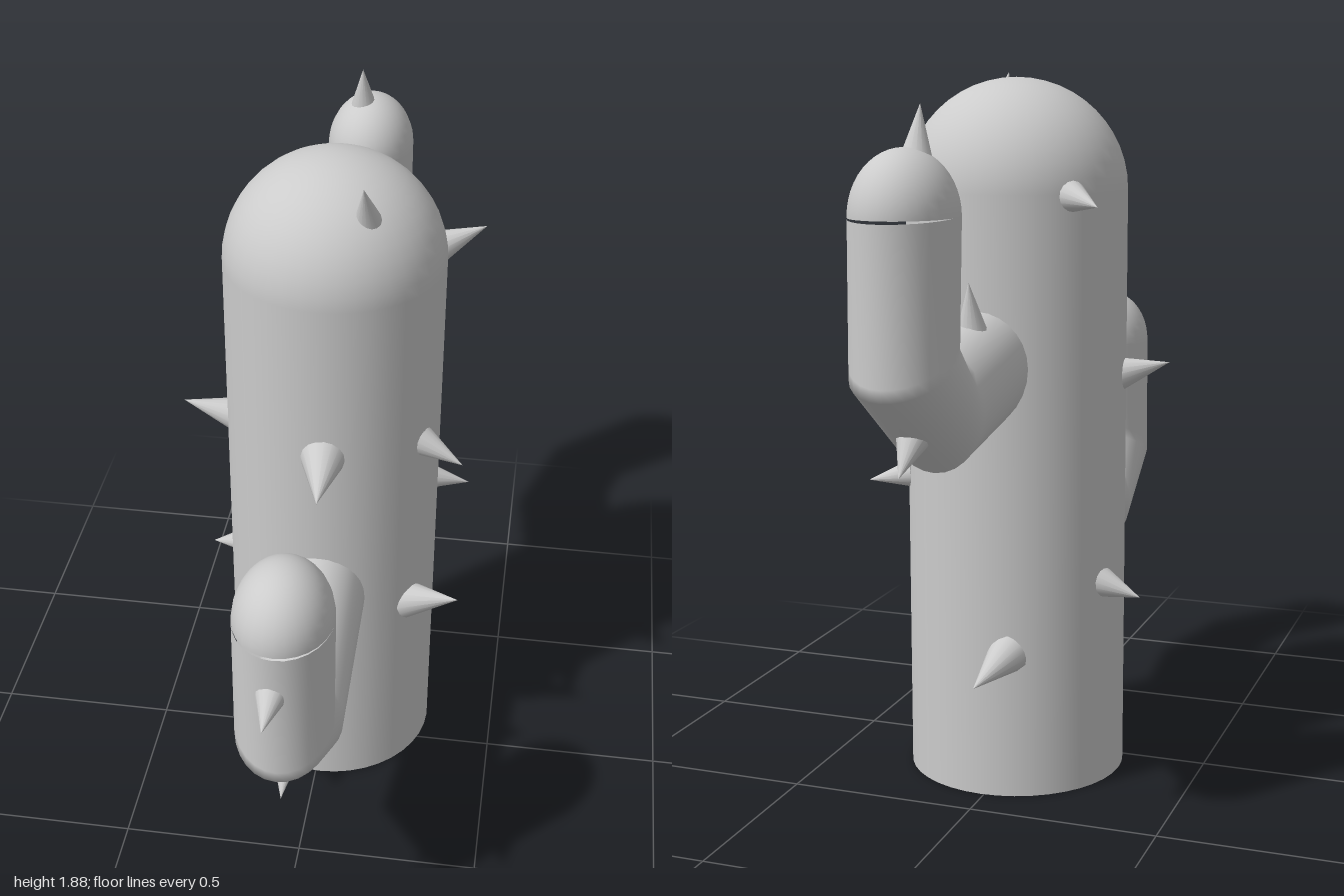
import * as THREE from 'three';

const material = new THREE.MeshStandardMaterial({ color: 0xcccccc });
const CX = 0.01;

function add(parent, name, geometry, x = 0, y = 0, z = 0) {
  const mesh = new THREE.Mesh(geometry, material);
  mesh.name = name;
  mesh.position.set(x, y, z);
  parent.add(mesh);
  return mesh;
}

// half sphere with its flat side at y = 0
const dome = (rx, ry, rz, sides) =>
  new THREE.SphereGeometry(1, sides, 12, 0, Math.PI * 2, 0, Math.PI / 2).scale(rx, ry, rz);

// tube skinned over oval rings; each ring is [innerZ, innerY, outerZ, outerY]
function loft(rings, halfWidth, sides) {
  const positions = [];
  const index = [];
  rings.forEach(([iz, iy, oz, oy], i) => {
    for (let j = 0; j < sides; j++) {
      const a = (j / sides) * Math.PI * 2;
      const c = Math.cos(a) / 2;
      positions.push(Math.sin(a) * halfWidth, (iy + oy) / 2 + c * (oy - iy), (iz + oz) / 2 + c * (oz - iz));
      if (i === rings.length - 1) continue;
      const p = i * sides + j;
      const q = i * sides + ((j + 1) % sides);
      index.push(p, q, p + sides, q, q + sides, p + sides);
    }
  });
  const geometry = new THREE.BufferGeometry();
  geometry.setAttribute('position', new THREE.Float32BufferAttribute(positions, 3));
  geometry.setIndex(index);
  geometry.computeVertexNormals();
  return geometry;
}

// bent arm reaching along +z, then up, with a rounded tip
function makeArm(name) {
  const arm = new THREE.Group();
  arm.name = name;
  const rings = [
    [0.05, 0.835, 0.05, 0.535],
    [0.56, 0.744, 0.56, 0.444],
    [0.58, 0.74, 0.58, 0.44],
    [0.61, 0.79, 0.885, 0.66],
    [0.608, 0.82, 0.885, 0.69],
    [0.585, 1.07, 0.885, 1.055],
  ];
  add(arm, 'armTube', loft(rings, 0.125, 28), 0, 0, 0);
  add(arm, 'armTip', dome(0.125, 0.155, 0.15, 28), 0, 1.062, 0.735);
  return arm;
}

// cone from a base point to a tip point, with its base sunk into the body
function addSpike(parent, [bx, by, bz, tx, ty, tz, radius]) {
  const base = new THREE.Vector3(bx, by, bz);
  const axis = new THREE.Vector3(tx, ty, tz).sub(base);
  const length = axis.length();
  const spike = add(parent, 'spike', new THREE.ConeGeometry(radius, length, 16));
  spike.position.copy(base).addScaledVector(axis, 0.5);
  spike.quaternion.setFromUnitVectors(new THREE.Vector3(0, 1, 0), axis.normalize());
}

export function createModel() {
  const model = new THREE.Group();
  model.name = 'cactus';

  // trunk with a rounded top
  add(model, 'trunk', new THREE.CylinderGeometry(0.294, 0.294, 1.58, 40), CX, 0.79, -0.105);
  add(model, 'trunkTop', dome(0.294, 0.29, 0.294, 40), CX, 1.58, -0.105);

  // two arms of the same shape, the back one turned round and set higher
  const frontArm = makeArm('frontArm');
  frontArm.position.set(CX, 0, 0);
  const backArm = makeArm('backArm');
  backArm.rotation.y = Math.PI;
  backArm.position.set(CX, 0.495, -0.113);
  model.add(frontArm, backArm);

  // spikes: base x, y, z, tip x, y, z, base radius
  const spikes = new THREE.Group();
  spikes.name = 'spikes';
  model.add(spikes);
  [
    // trunk, left side
    [0.27, 1.59, -0.18, 0.395, 1.645, -0.21, 0.045],
    [0.25, 1.115, 0.01, 0.38, 1.067, 0.055, 0.047],
    [0.26, 0.82, -0.23, 0.385, 0.795, -0.25, 0.04],
    [0.24, 0.585, 0.05, 0.39, 0.642, 0.105, 0.055],
    // trunk, right side
    [-0.25, 1.09, -0.065, -0.4, 1.13, -0.055, 0.05],
    [-0.25, 0.555, -0.19, -0.37, 0.525, -0.21, 0.045],
    [-0.2, 1.575, -0.29, -0.3, 1.555, -0.385, 0.042],
    // trunk, front, back and top
    [-0.035, 0.16, 0.17, -0.04, 0.167, 0.335, 0.054],
    [0.02, 1.14, 0.17, 0.035, 1.142, 0.385, 0.062],
    [-0.06, 0.39, -0.37, -0.02, 0.338, -0.525, 0.055],
    [0.115, 1.775, 0.055, 0.11, 1.885, 0.113, 0.035],
    // front arm
    [0.0, 0.93, 0.865, 0.0, 0.93, 0.998, 0.04],
    [0.02, 0.75, 0.38, 0.035, 0.92, 0.458, 0.058],
    [0.01, 0.61, 0.725, 0.01, 0.535, 0.82, 0.04],
    // back arm
    [-0.01, 1.685, -0.825, -0.01, 1.808, -0.798, 0.038],
    [-0.01, 1.24, -0.485, -0.01, 1.375, -0.51, 0.042],
    [0.01, 1.06, -0.8, 0.01, 0.965, -0.905, 0.05],
  ].forEach((spike) => addSpike(spikes, spike));

  return model;
}
